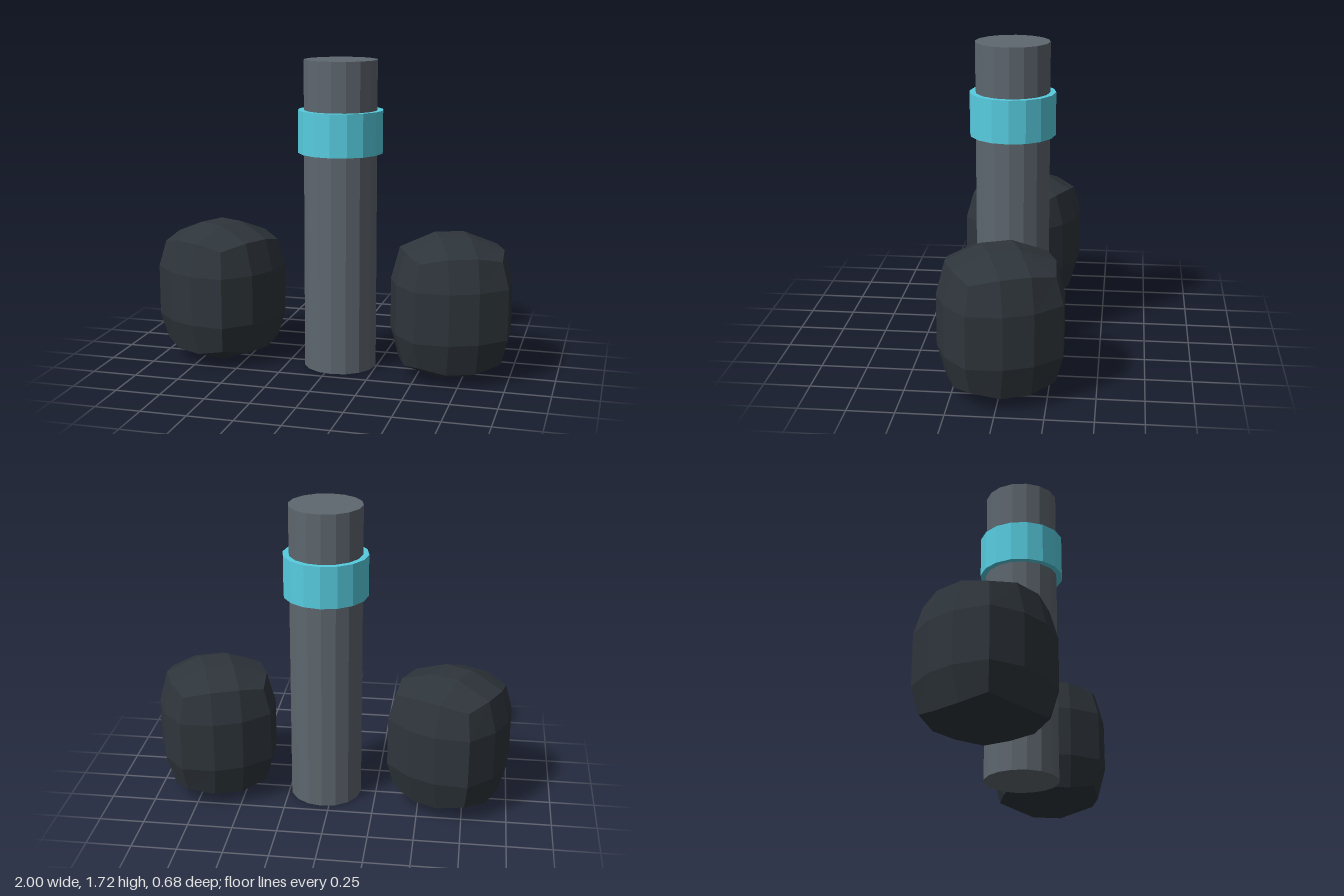
import * as THREE from 'three';

const material = (color) => new THREE.MeshStandardMaterial({ color, flatShading: true });

function addMesh(group, name, geometry, mat, x, y) {
  const mesh = new THREE.Mesh(geometry, mat);
  mesh.name = name;
  mesh.position.set(x, y, 0);
  group.add(mesh);
  return mesh;
}

// A 3x3x3 box bulged outwards: each vertex is placed by which axes lie on the outside
function bulgedBox() {
  const geometry = new THREE.BoxGeometry(3, 3, 3, 3, 3, 3);
  const p = geometry.attributes.position;
  const place = (outX, outY, outZ) => {
    if (outX && outY && outZ) return [0.225, 0.285, 0.225]; // corner
    if (outX && outZ) return [0.255, 0.14, 0.255]; // upright edge
    if (outX && outY) return [0.273, 0.316, 0.08]; // level edges
    if (outZ && outY) return [0.08, 0.316, 0.273];
    if (outX) return [0.321, 0.14, 0.081]; // side faces
    if (outZ) return [0.081, 0.14, 0.321];
    return [0.08, 0.3925, 0.08]; // top and bottom
  };
  for (let i = 0; i < p.count; i++) {
    const v = [p.getX(i), p.getY(i), p.getZ(i)];
    const size = place(...v.map((c) => Math.abs(c) > 1));
    p.setXYZ(i, ...v.map((c, k) => Math.sign(c) * size[k]));
  }
  geometry.computeVertexNormals();
  return geometry;
}

export function createModel() {
  const model = new THREE.Group();
  model.name = 'bollard';

  // Post and the band around it
  addMesh(model, 'post', new THREE.CylinderGeometry(0.203, 0.203, 1.72, 16), material(0x5e676f), 0.04, 0.86);
  addMesh(model, 'band', new THREE.CylinderGeometry(0.235, 0.235, 0.235, 16), material(0x57cde0), 0.04, 1.33);

  // Rounded blocks on both sides, each turned a little
  const block = bulgedBox();
  const dark = material(0x2e353b);
  for (const [name, x, turn] of [['rightBlock', -0.663, -26.2], ['leftBlock', 0.667, 21.9]]) {
    addMesh(model, name, block, dark, x, 0.3925).rotation.y = THREE.MathUtils.degToRad(turn);
  }
  return model;
}
